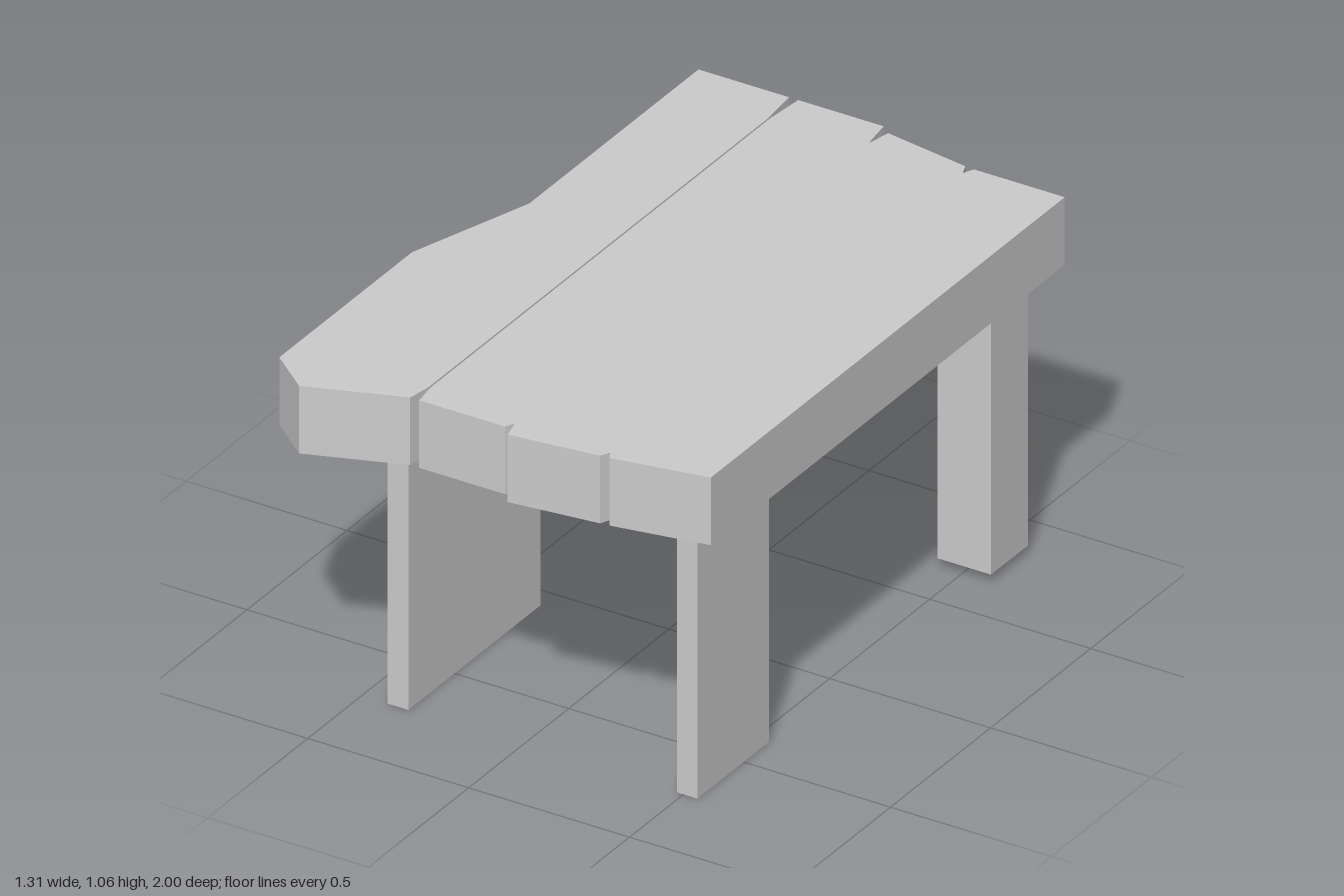
import * as THREE from 'three';

const wood = new THREE.MeshStandardMaterial({ color: 0xcccccc });
wood.name = 'plain wood';

// Upright prism over a plan outline of [x, z] points
function prism(name, plan, bottom, top) {
  const shape = new THREE.Shape(plan.map(([x, z]) => new THREE.Vector2(x, -z)));
  const geometry = new THREE.ExtrudeGeometry(shape, { depth: top - bottom, bevelEnabled: false });
  geometry.rotateX(-Math.PI / 2);
  geometry.translate(0, bottom, 0);
  const mesh = new THREE.Mesh(geometry, wood);
  mesh.name = name;
  return mesh;
}

export function createModel() {
  const table = new THREE.Group();
  table.name = 'roughTable';
  const under = 0.853, top = 1.058;

  // Four planks with chipped corners; a narrow slit parts the first two
  const planks = {
    wavyPlank: [[-0.53, -1], [-0.248, -1], [-0.236, -0.88], [-0.236, 0.82], [-0.248, 0.893],
      [-0.53, 0.995], [-0.655, 0.893], [-0.655, 0.23], [-0.53, -0.155]],
    innerPlankRight: [[-0.22, -1], [0.046, -1], [0.06, -0.9], [0.06, 0.865], [0.046, 0.893],
      [-0.22, 0.893], [-0.231, 0.82], [-0.231, -0.88]],
    innerPlankLeft: [[0.075, -0.975], [0.342, -0.932], [0.355, -0.898], [0.355, 0.865],
      [0.342, 0.893], [0.075, 0.925], [0.06, 0.865], [0.06, -0.9]],
    outerPlank: [[0.37, -0.93], [0.652, -0.93], [0.652, 0.838], [0.37, 0.89],
      [0.355, 0.865], [0.355, -0.898]],
  };
  for (const [name, plan] of Object.entries(planks)) table.add(prism(name, plan, under, top));

  // Front legs are slabs with slightly skewed back ends: [name, x0, x1, back z]
  for (const [name, x0, x1, back] of [
    ['frontLegRight', -0.42, -0.355, 0.05],
    ['frontLegLeft', 0.48, 0.543, 0.352],
  ]) {
    table.add(prism(name, [[x0, back], [x1, back + 0.02], [x1, 0.73], [x0, 0.73]], 0, under));
  }

  // Back legs are square posts, a little shorter
  for (const [name, x0, x1] of [['backLegRight', -0.472, -0.303], ['backLegLeft', 0.427, 0.594]]) {
    table.add(prism(name, [[x0, -0.84], [x1, -0.84], [x1, -0.655], [x0, -0.655]], 0.028, under));
  }
  return table;
}
